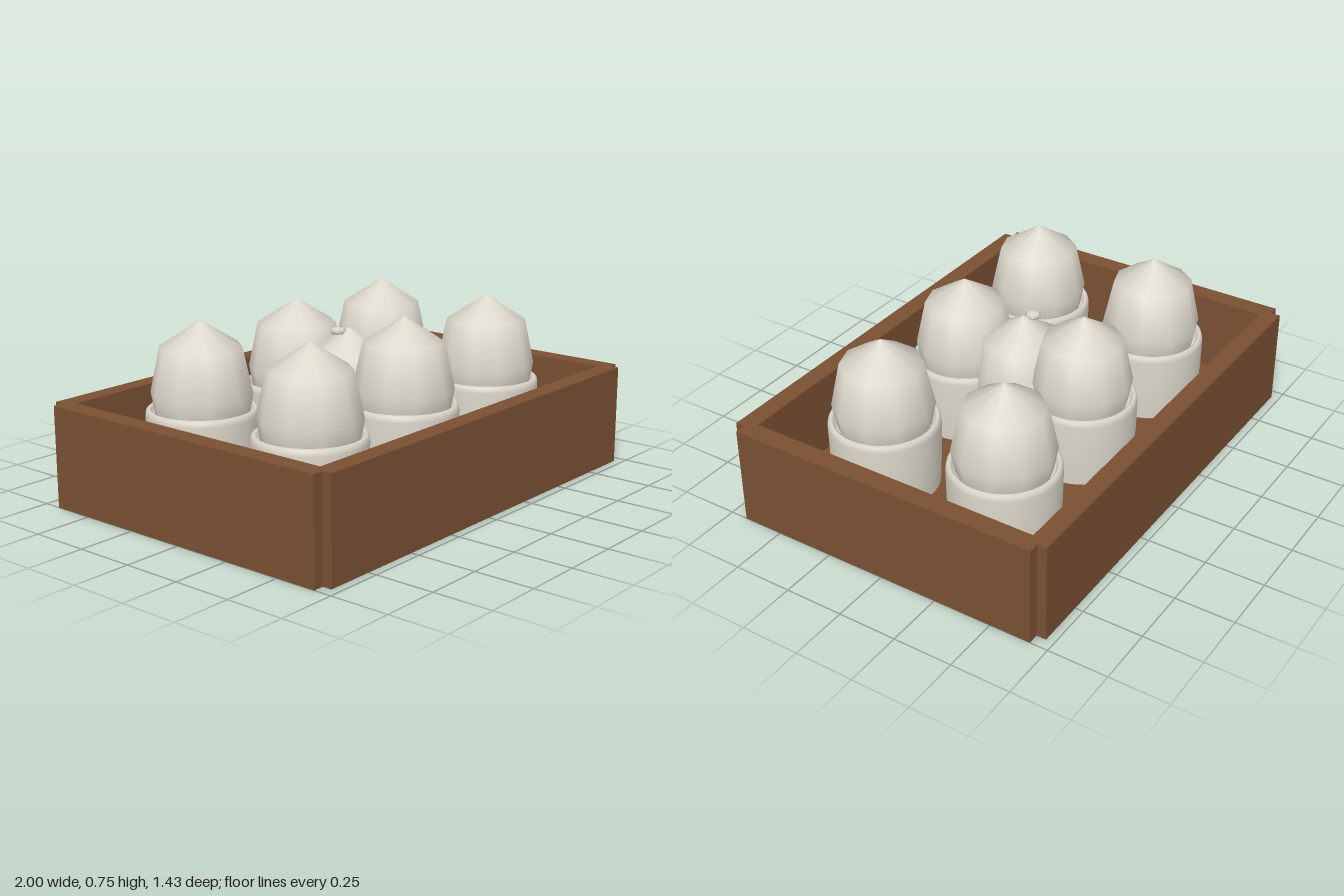
import * as THREE from 'three';

const wood = new THREE.MeshStandardMaterial({ name: 'brown wood', color: 0x7a5033 });
const shell = new THREE.MeshStandardMaterial({ name: 'pale shell', color: 0xdcd7cb });

function addMesh(parent, name, geometry, material) {
  const mesh = new THREE.Mesh(geometry, material);
  mesh.name = name;
  parent.add(mesh);
  return mesh;
}

function lathe(profile, sides) {
  return new THREE.LatheGeometry(profile.map(([r, y]) => new THREE.Vector2(r, y)), sides);
}

// Tray walls: a rectangle with notched corners and a rectangular opening
function wallGeometry() {
  const X = 1, x = 0.955, Z = 0.715, z = 0.675;
  const corners = [
    [X, -z], [X, z], [x, z], [x, Z], [-x, Z], [-x, z],
    [-X, z], [-X, -z], [-x, -z], [-x, -Z], [x, -Z], [x, -z],
  ];
  const shape = new THREE.Shape(corners.map(([a, b]) => new THREE.Vector2(a, b)));
  const opening = [[-0.918, -0.635], [-0.918, 0.635], [0.918, 0.635], [0.918, -0.635]];
  shape.holes.push(new THREE.Path(opening.map(([a, b]) => new THREE.Vector2(a, b))));
  return new THREE.ExtrudeGeometry(shape, { depth: 0.422, bevelEnabled: false }).rotateX(-Math.PI / 2);
}

export function createModel() {
  const model = new THREE.Group();
  model.name = 'egg tray';

  addMesh(model, 'trayWalls', wallGeometry(), wood);
  addMesh(model, 'trayFloor', new THREE.BoxGeometry(1.836, 0.078, 1.27), wood).position.y = 0.041;

  // Round cup with a softened rim and a shallow well
  const cup = lathe([
    [0, 0], [0.21, 0], [0.216, 0.006], [0.224, 0.15], [0.226, 0.285],
    [0.222, 0.305], [0.212, 0.313], [0.2, 0.305], [0.19, 0.27], [0, 0.25],
  ], 40);
  // Coarse ten-sided egg with a pointed top
  const egg = lathe([
    [0, 0.1], [0.12, 0.15], [0.185, 0.25], [0.206, 0.37], [0.165, 0.56], [0, 0.665],
  ], 10);

  function addEgg(name, x, y, z) {
    const group = new THREE.Group();
    group.name = name;
    addMesh(group, 'cup', cup, shell);
    addMesh(group, 'egg', egg, shell);
    group.position.set(x, y, z);
    model.add(group);
  }

  // Two rows of three, plus a lower one in the middle
  for (const z of [-0.285, 0.285]) {
    for (const x of [-0.57, 0, 0.57]) addEgg('eggInCup', x, 0.085, z);
  }
  addEgg('middleEggInCup', 0, 0, 0);

  // Small flattened knob beside the middle tip
  const knob = addMesh(model, 'knob', new THREE.SphereGeometry(0.035, 6, 4), shell);
  knob.scale.y = 0.45;
  knob.position.set(-0.045, 0.652, -0.02);
  knob.rotation.y = Math.PI / 6;

  return model;
}
